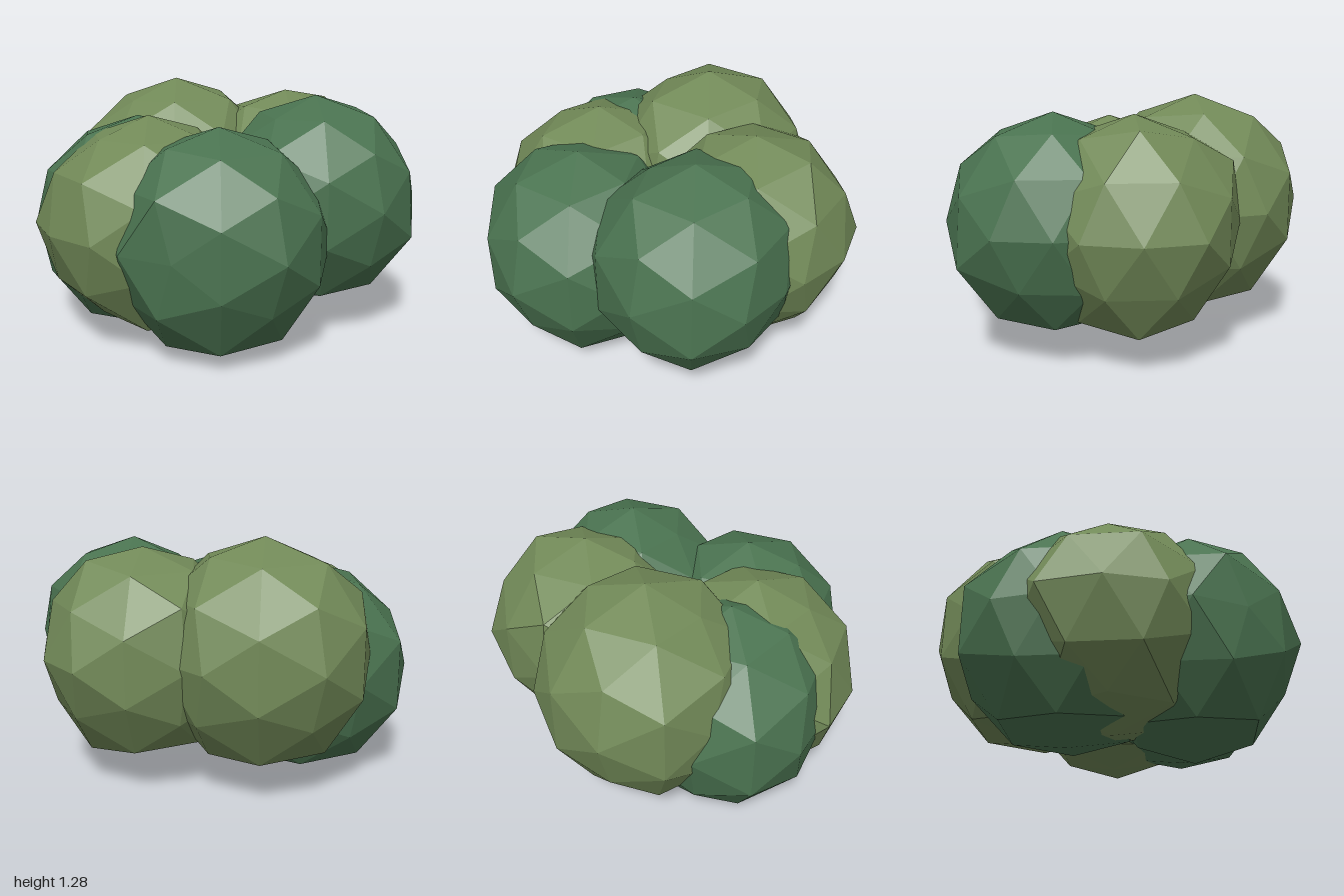
import * as THREE from 'three';

// One low-poly leaf clump: a faceted ball, slightly fuller around its underside.
// Each bump [x, y, z, scale] moves the corner in that direction in or out.
function clumpGeometry(radius, bumps) {
  const geo = new THREE.IcosahedronGeometry(1, 1);
  const pos = geo.attributes.position;
  const v = new THREE.Vector3();
  const dir = new THREE.Vector3();
  for (let i = 0; i < pos.count; i++) {
    v.fromBufferAttribute(pos, i);
    const bump = bumps.find(([x, y, z]) => dir.set(x, y, z).normalize().dot(v) > 0.97);
    const underside = v.y < -0.7 && v.y > -0.95;
    v.multiplyScalar(radius * (bump ? bump[3] : underside ? 1.05 : 1));
    pos.setXYZ(i, v.x, v.y, v.z);
  }
  geo.computeVertexNormals();
  return geo;
}

export function createModel() {
  const bush = new THREE.Group();
  bush.name = 'bush';

  const darkLeaf = new THREE.MeshStandardMaterial({ color: 0x4a7350, flatShading: true });
  const oliveLeaf = new THREE.MeshStandardMaterial({ color: 0x728a58, flatShading: true });

  function addClump(name, material, radius, centre, bumps) {
    const mesh = new THREE.Mesh(clumpGeometry(radius, bumps), material);
    mesh.name = name;
    mesh.position.set(...centre);
    bush.add(mesh);
  }

  // Dark clumps
  addClump('frontLeftClump', darkLeaf, 0.535, [0.37, 0.69, 0.35],
    [[-5, 8, 0, 0.93], [1, 0, 0, 0.955], [8, -5, 3, 0.97], [5, -3, 8, 1.05]]);
  addClump('frontRightClump', darkLeaf, 0.55, [-0.28, 0.56, 0.42],
    [[-8, 0, 5, 0.89], [0, -5, 8, 0.95], [5, -8, 0, 1.1], [-5, 3, 8, 0.96], [-5, -3, 8, 0.96]]);
  addClump('backRightClump', darkLeaf, 0.555, [-0.39, 0.56, -0.2],
    [[-1, 0, 0, 0.94], [-5, 3, -8, 1.05], [-5, -3, -8, 1.05]]);

  // Olive clumps
  addClump('backClump', oliveLeaf, 0.57, [-0.03, 0.715, -0.41],
    [[-5, 8, 0, 0.93], [-8, 0, -5, 0.93], [0, -5, -8, 0.97]]);
  addClump('rightClump', oliveLeaf, 0.55, [-0.45, 0.59, 0.03],
    [[-5, 8, 0, 0.95], [-8, 0, -5, 1.07], [-5, -8, 0, 0.94]]);
  addClump('leftClump', oliveLeaf, 0.53, [0.47, 0.69, -0.04],
    [[5, 8, 0, 1.06], [5, -8, 0, 1.1], [0, 5, -8, 1.08], [8, 0, -5, 1.04]]);

  return bush;
}
